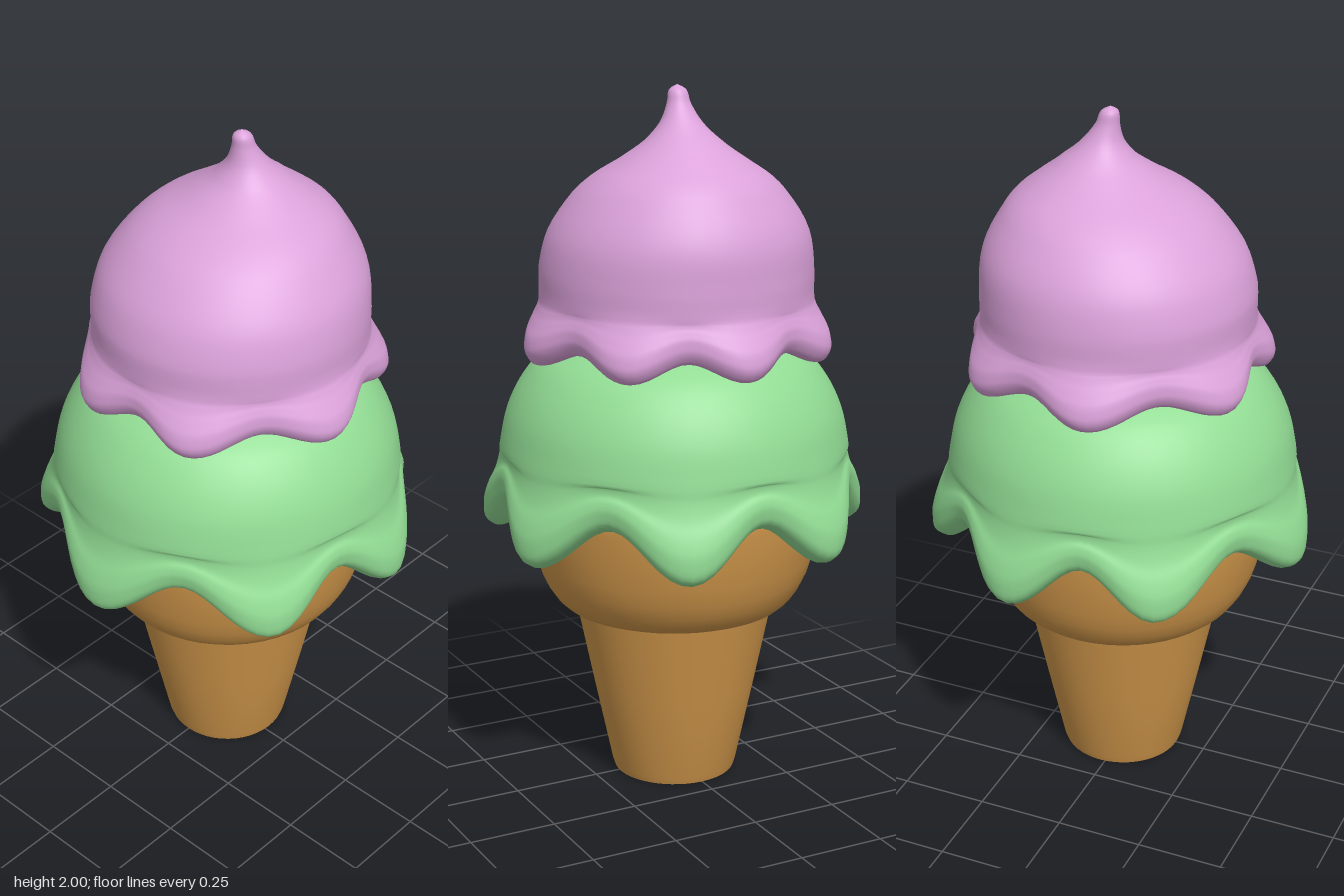
import * as THREE from 'three';
import { mergeVertices, toCreasedNormals } from 'three/addons/utils/BufferGeometryUtils.js';

const material = (name, color) => {
  const m = new THREE.MeshStandardMaterial({ color });
  m.name = name;
  return m;
};

// Wave around the scoop: 1 at each drip angle (degrees from the front), -1 halfway between
function dripWave(deg, drips) {
  for (let i = 0; i < drips.length; i++) {
    const a = drips[i];
    const b = i + 1 < drips.length ? drips[i + 1] : drips[0] + 360;
    const d = ((deg - a) % 360 + 360) % 360;
    if (d <= b - a) return Math.cos((2 * Math.PI * d) / (b - a));
  }
  return 1;
}

// Scoop: smooth lathe whose skirt is waved. Profile entries are [radius, y, wave weight], bottom to top
function scoop(name, mat, profile, drips, ampR, ampY, centre) {
  const curve = new THREE.CatmullRomCurve3(profile.map((p) => new THREE.Vector3(...p)));
  const pts = curve.getPoints((profile.length - 1) * 4);
  const n = pts.length;
  const geo = new THREE.LatheGeometry(pts.map((p) => new THREE.Vector2(Math.max(p.x, 0), p.y)), 112);
  const pos = geo.attributes.position;
  for (let i = 0; i < pos.count; i++) {
    const p = pts[i % n];
    const phi = (Math.floor(i / n) / 112) * Math.PI * 2;
    const w = p.z * dripWave((phi * 180) / Math.PI, drips);
    const r = p.x < 1e-4 ? 0 : p.x + w * ampR;
    const [cx, cz] = centre(p.y);
    pos.setXYZ(i, cx + r * Math.sin(phi), p.y - w * ampY, cz + r * Math.cos(phi));
  }
  geo.deleteAttribute('uv');
  geo.deleteAttribute('normal');
  const merged = mergeVertices(geo, 1e-4);
  merged.computeVertexNormals();
  const mesh = new THREE.Mesh(merged, mat);
  mesh.name = name;
  return mesh;
}

// Plain turned part with kept edges
function turned(name, mat, profile) {
  const geo = new THREE.LatheGeometry(profile.map((p) => new THREE.Vector2(...p)), 48);
  const mesh = new THREE.Mesh(toCreasedNormals(geo, 0.7), mat);
  mesh.name = name;
  mesh.position.z = -0.015;
  return mesh;
}

export function createModel() {
  const wafer = material('wafer', 0xcf964a);
  const mint = material('mint', 0x92dc94);
  const berry = material('berry', 0xdba2da);
  const group = new THREE.Group();
  group.name = 'iceCreamCone';

  // Tapered wafer stem and the cup above it
  group.add(turned('coneStem', wafer, [[0, 0], [0.175, 0], [0.182, 0.02], [0.235, 0.27], [0.287, 0.52]]));
  group.add(turned('coneCup', wafer, [
    [0.25, 0.503], [0.295, 0.507], [0.32, 0.517], [0.344, 0.538], [0.366, 0.57], [0.385, 0.61],
    [0.4, 0.66], [0.414, 0.73], [0.426, 0.81], [0.43, 0.9], [0.4, 0.95], [0, 0.95],
  ]));

  // Lower scoop with a deep dripping skirt
  group.add(scoop('lowerScoop', mint, [
    [0.39, 0.88, 0.7], [0.42, 0.825, 0.9], [0.45, 0.793, 1], [0.487, 0.783, 1], [0.518, 0.8, 1],
    [0.53, 0.845, 0.9], [0.522, 0.89, 0.7], [0.505, 0.925, 0.45], [0.497, 0.96, 0.2], [0.495, 1, 0],
    [0.475, 1.09, 0], [0.43, 1.18, 0], [0.365, 1.25, 0], [0.2, 1.32, 0], [0, 1.34, 0],
  ], [0, 56, 105, 157, 206, 256, 303], 0.027, 0.064, () => [0, -0.015]));

  // Upper scoop with a short skirt and a leaning, curled tip
  const lean = [
    [1.4, -0.028], [1.5, -0.028], [1.6, -0.04], [1.7, -0.055], [1.8, -0.083],
    [1.85, -0.088], [1.9, -0.078], [1.95, -0.064], [2, -0.055],
  ];
  const upperCentre = (y) => {
    const i = Math.min(Math.max(lean.findIndex((l) => l[0] > y), 1), lean.length - 1);
    const k = y >= 2 ? lean.length - 1 : i;
    const [y0, z0] = lean[k - 1];
    const [y1, z1] = lean[k];
    const t = THREE.MathUtils.clamp((y - y0) / (y1 - y0), 0, 1);
    return [0.012 * THREE.MathUtils.smoothstep(y, 1.6, 1.9), z0 + (z1 - z0) * t];
  };
  group.add(scoop('upperScoop', berry, [
    [0.31, 1.31, 0.6], [0.35, 1.282, 0.9], [0.375, 1.268, 1], [0.4, 1.272, 1], [0.416, 1.295, 1],
    [0.418, 1.33, 0.9], [0.405, 1.365, 0.6], [0.39, 1.395, 0.25], [0.385, 1.43, 0], [0.384, 1.5, 0],
    [0.363, 1.6, 0], [0.3, 1.7, 0], [0.25, 1.75, 0], [0.175, 1.8, 0], [0.106, 1.85, 0],
    [0.058, 1.9, 0], [0.033, 1.95, 0], [0.024, 1.985, 0], [0, 2, 0],
  ], [27, 83, 134, 180, 228, 281, 338], 0.022, 0.025, upperCentre));

  return group;
}
